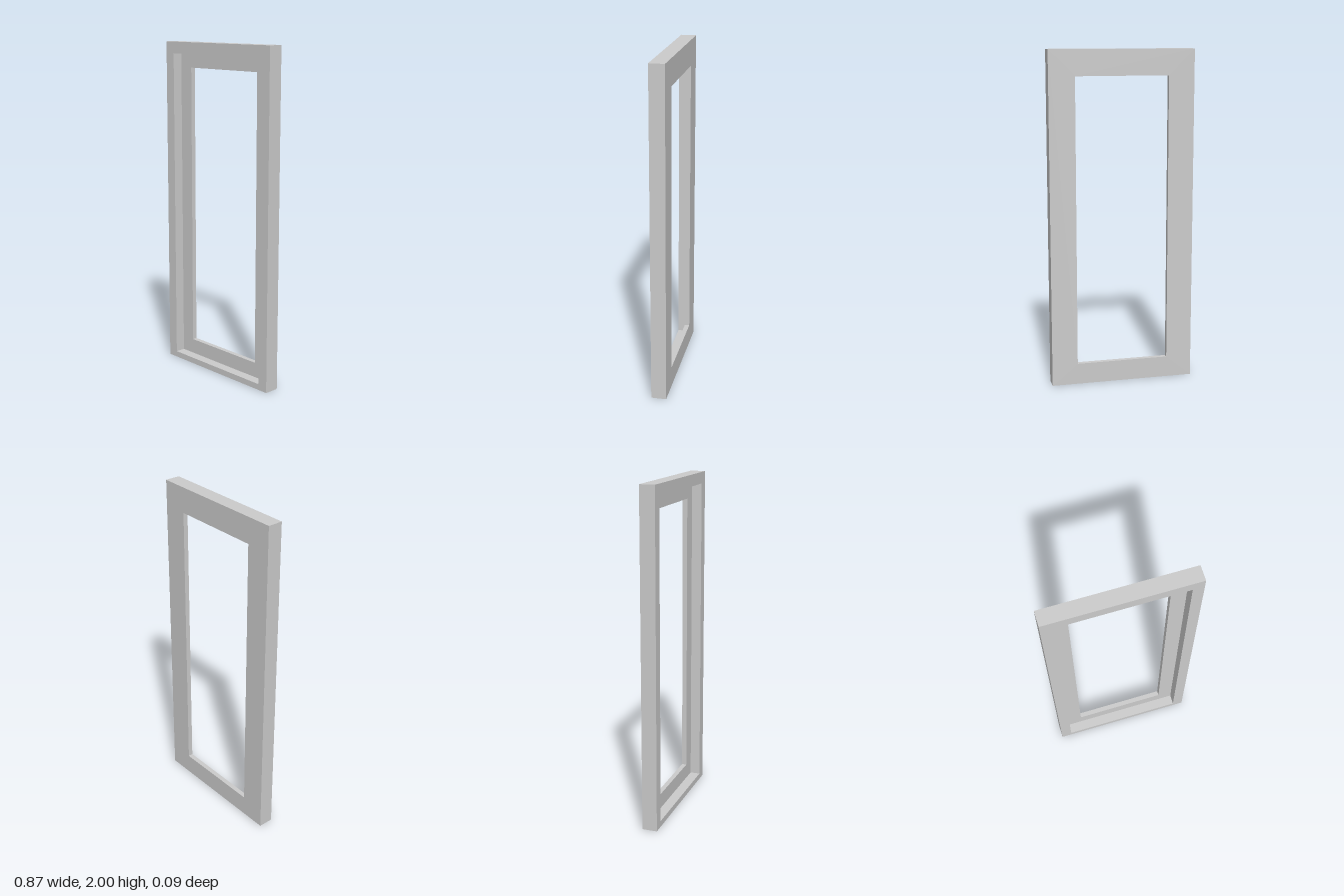
import * as THREE from 'three';

// Each ring is a rectangle: half width, bottom, top, z.
// Together they trace the frame's stepped section, from the outer back edge round to the opening.
const BACK = -0.045, STEP = -0.016, FRONT = 0.045;
const OUTER = [0.433, 0, 2];
const RECESS = [0.368, 0.036, 1.931];
const OPENING = [0.278, 0.127, 1.847];
const RINGS = [
  [...OUTER, BACK],
  [...OUTER, FRONT],
  [...RECESS, FRONT],
  [...RECESS, STEP],
  [...OPENING, STEP],
  [...OPENING, BACK],
];

// Joins consecutive rectangular rings into one closed, flat-faced solid.
function ringSolid(rings) {
  const corners = rings.map(([w, bottom, top, z]) => [
    [-w, bottom, z], [w, bottom, z], [w, top, z], [-w, top, z],
  ]);
  const positions = [];
  corners.forEach((ring, i) => {
    const next = corners[(i + 1) % corners.length];
    for (let j = 0; j < 4; j++) {
      const k = (j + 1) % 4;
      const a = ring[j], b = ring[k], c = next[k], d = next[j];
      positions.push(...a, ...b, ...c, ...a, ...c, ...d);
    }
  });
  const geometry = new THREE.BufferGeometry();
  geometry.setAttribute('position', new THREE.Float32BufferAttribute(positions, 3));
  geometry.computeVertexNormals();
  return geometry;
}

export function createModel() {
  const group = new THREE.Group();
  group.name = 'rebatedFrame';

  // Frame with a recess at the front and a thin lip around the opening
  const material = new THREE.MeshStandardMaterial({ color: 0xcccccc, flatShading: true });
  const frame = new THREE.Mesh(ringSolid(RINGS), material);
  frame.name = 'frame';
  group.add(frame);

  return group;
}
